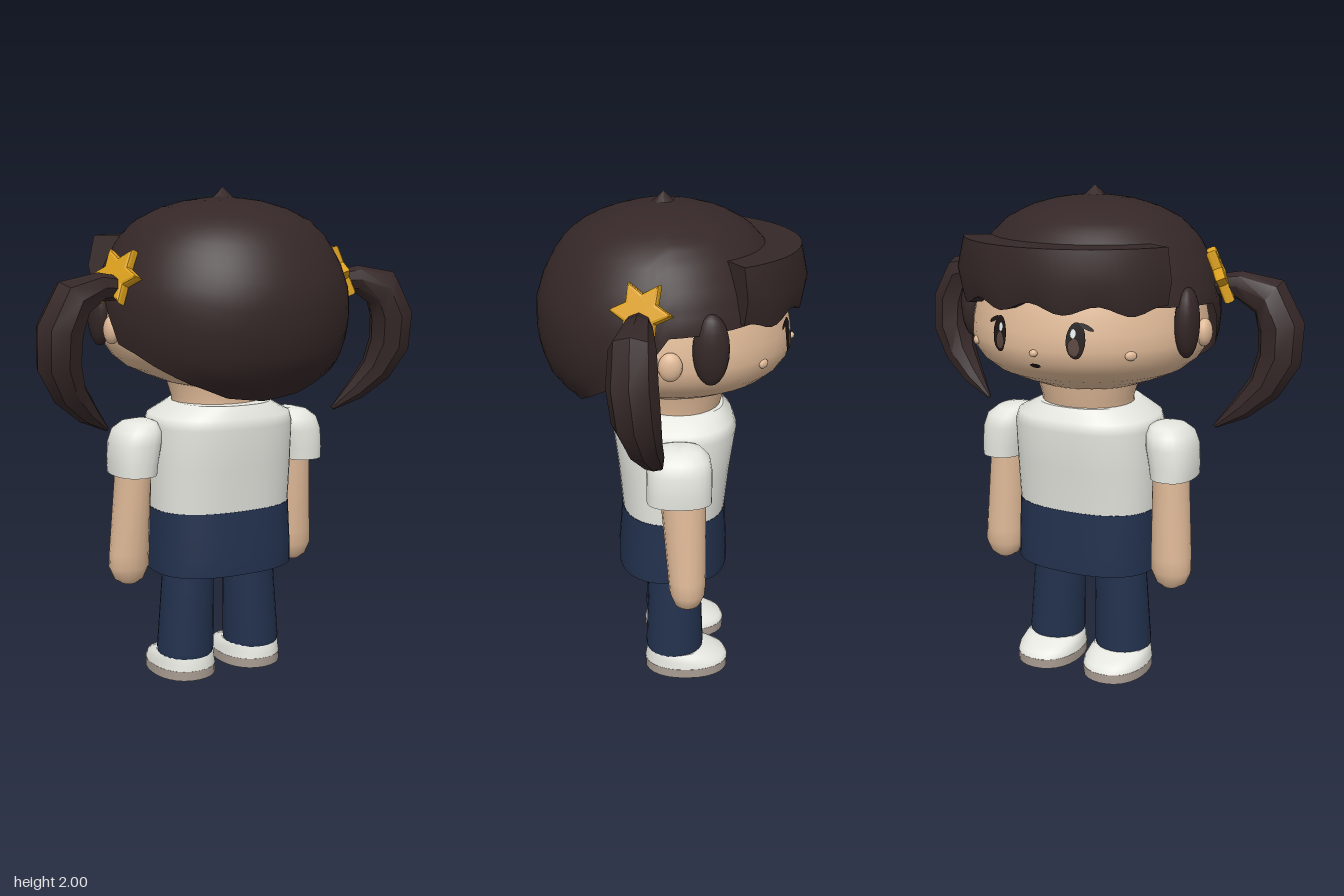
import * as THREE from 'three';
import { toCreasedNormals } from 'three/addons/utils/BufferGeometryUtils.js';

const mat = (name, color, side = THREE.FrontSide) => {
  const m = new THREE.MeshStandardMaterial({ color, side });
  m.name = name;
  return m;
};

// Linear lookup in a table of [key, value]
function lookup(table, t) {
  if (t <= table[0][0]) return table[0][1];
  for (let i = 1; i < table.length; i++) {
    const [a, va] = table[i - 1], [b, vb] = table[i];
    if (t <= b) return va + (vb - va) * (t - a) / (b - a);
  }
  return table[table.length - 1][1];
}

// Skin over rings of points, optionally capped at both ends
function loft(rings, caps = true) {
  const n = rings[0].length, pos = rings.flat(2), idx = [];
  for (let i = 0; i < rings.length - 1; i++) {
    for (let j = 0; j < n; j++) {
      const k = (j + 1) % n, a = i * n + j, b = i * n + k, c = b + n, d = a + n;
      idx.push(a, b, c, a, c, d);
    }
  }
  if (caps) {
    [rings[0], rings[rings.length - 1]].forEach((ring, e) => {
      const base = pos.length / 3;
      pos.push(...ring.flat());
      for (let j = 1; j < n - 1; j++) {
        if (e) idx.push(base, base + j, base + j + 1);
        else idx.push(base, base + j + 1, base + j);
      }
    });
  }
  const g = new THREE.BufferGeometry();
  g.setAttribute('position', new THREE.Float32BufferAttribute(pos, 3));
  g.setIndex(idx);
  g.computeVertexNormals();
  return g;
}

// Upright body from rows [y, centreX, centreZ, radiusX, radiusZ]
function column(rows, n = 24, power = 2, caps = true) {
  const f = (v) => Math.sign(v) * Math.abs(v) ** (2 / power);
  return loft(rows.map(([y, cx, cz, rx, rz]) => Array.from({ length: n }, (_, j) => {
    const a = j / n * Math.PI * 2;
    return [cx + rx * f(Math.cos(a)), y, cz - rz * f(Math.sin(a))];
  })), caps);
}

const HEAD = [[1.22, 0.17], [1.235, 0.23], [1.27, 0.32], [1.3, 0.385], [1.34, 0.435], [1.38, 0.463],
  [1.43, 0.475], [1.49, 0.47], [1.55, 0.458], [1.62, 0.44], [1.7, 0.4], [1.8, 0.31], [1.87, 0.2], [1.9, 0.02]];
const HAIR = [[1.19, 0.34], [1.22, 0.38], [1.28, 0.44], [1.33, 0.475], [1.42, 0.502], [1.5, 0.512], [1.6, 0.508],
  [1.7, 0.475], [1.8, 0.42], [1.87, 0.35], [1.92, 0.25], [1.95, 0.14], [1.965, 0.001]];
// Lower hair edge by angle away from the back, in degrees
const HAIR_EDGE = [[0, 1.19], [25, 1.21], [47, 1.28], [70, 1.38], [80, 1.41], [88, 1.57], [180, 1.61]];

export function createModel() {
  const group = new THREE.Group();
  const skin = mat('skin', 0xe0ba98);
  const hair = mat('dark brown hair', 0x352727, THREE.DoubleSide);
  const white = mat('white cloth', 0xe6e6e0);
  const navy = mat('navy cloth', 0x22314d, THREE.DoubleSide);
  const sole = mat('sole', 0xaa9e94);
  const yellow = mat('yellow', 0xdca01c);
  const ink = mat('eye dark', 0x1e1614, THREE.DoubleSide);
  const shine = mat('eye highlight', 0xeef2f2, THREE.DoubleSide);
  const iris = mat('eye brown', 0x59443c, THREE.DoubleSide);

  const add = (name, geo, material) => {
    const m = new THREE.Mesh(geo, material);
    m.name = name;
    group.add(m);
    return m;
  };
  const blob = (name, material, p, r) => {
    const m = add(name, new THREE.SphereGeometry(1, 16, 12), material);
    m.position.set(...p);
    m.scale.set(...r);
    return m;
  };
  // Thin oval laid on the face
  const facePatch = (name, material, cx, cy, rx, ry, lift, tilt = 0) => {
    const s = new THREE.Shape().absellipse(cx, cy, rx, ry, 0, Math.PI * 2, false, tilt);
    const g = new THREE.ShapeGeometry(s, 12), p = g.attributes.position;
    for (let i = 0; i < p.count; i++) {
      const r = lookup(HEAD, p.getY(i));
      p.setZ(i, -Math.sqrt(r * r - p.getX(i) ** 2) - lift);
    }
    g.computeVertexNormals();
    add(name, g, material);
  };

  // Head and neck
  add('head', column(HEAD.map(([y, r]) => [y, 0, 0, r, r]), 40), skin);
  add('neck', column([[1.12, 0, -0.02, 0.19, 0.17], [1.17, 0, -0.03, 0.19, 0.175], [1.25, 0, -0.03, 0.215, 0.19]]), skin);
  blob('nose', skin, [0, 1.42, -0.477], [0.016, 0.014, 0.014]);
  facePatch('mouth', ink, 0, 1.37, 0.022, 0.009, 0.006);

  // Hair cap: long at the back, cut above the ears
  const rows = 20, cols = 72, rings = [];
  for (let i = 0; i <= rows; i++) {
    rings.push(Array.from({ length: cols }, (_, j) => {
      const a = j / cols * Math.PI * 2, c = -Math.sin(a);
      const low = lookup(HAIR_EDGE, Math.acos(c) * 180 / Math.PI);
      const y = low + (1.965 - low) * Math.sin(i / rows * Math.PI / 2);
      const r = lookup(HAIR, y);
      return [r * Math.cos(a), y, 0.02 + r * c * (c < 0 ? 0.93 : 1)];
    }));
  }
  add('hairCap', loft(rings, false), hair);
  const crown = add('crownTuft', new THREE.ConeGeometry(0.065, 0.06, 8), hair);
  crown.position.set(0, 1.97, 0.03);

  // Fringe: a curved band with a wavy lower edge
  const fringe = [];
  for (let i = 0; i <= 32; i++) {
    const u = i / 16 - 1, t = u * 1.05;
    const low = 1.595 + 0.018 * Math.cos(u * 13) - 0.015 * Math.abs(u);
    const at = (r, y) => [r * Math.sin(t), y, -r * Math.cos(t)];
    fringe.push([at(0.455, low), at(0.508, low), at(0.528, 1.69), at(0.502, 1.81), at(0.34, 1.81)]);
  }
  add('fringe', toCreasedNormals(loft(fringe), 0.6), hair);

  // Shirt and trouser top
  add('shirt', column([[0.72, 0, -0.008, 0.295, 0.212], [0.9, 0, -0.01, 0.3, 0.23], [1.06, 0, -0.012, 0.3, 0.252],
    [1.1, 0, -0.01, 0.29, 0.238], [1.15, 0, -0.005, 0.195, 0.205]], 40, 2.5), white);
  add('trouserTop', column([[0.46, 0, -0.005, 0.303, 0.226], [0.53, 0, -0.005, 0.302, 0.226],
    [0.72, 0, -0.008, 0.296, 0.213]], 40, 2.5, false), navy);

  for (const s of [1, -1]) {
    const side = s > 0 ? 'left' : 'right';

    // Face details
    const ex = 0.16 * s;
    facePatch(side + 'EyeLash', ink, ex, 1.475, 0.034, 0.068, 0.005);
    facePatch(side + 'EyeIris', iris, ex - 0.004 * s, 1.452, 0.02, 0.034, 0.008);
    facePatch(side + 'EyeShine', shine, ex - 0.008 * s, 1.502, 0.011, 0.017, 0.009);
    facePatch(side + 'LashTip', ink, ex + 0.035 * s, 1.525, 0.028, 0.008, 0.006, -0.5 * s);
    const cheek = blob(side + 'Cheek', skin, [0.332 * s, 1.415, -0.337], [0.023, 0.018, 0.012]);
    cheek.rotation.y = -0.78 * s;
    blob(side + 'Ear', skin, [0.48 * s, 1.455, 0.015], [0.03, 0.055, 0.045]);
    blob(side + 'SideLock', hair, [0.468 * s, 1.515, -0.133], [0.045, 0.135, 0.068]);

    // Pigtail: a tapered, faceted tube
    const path = new THREE.CatmullRomCurve3([[0.45, 1.62, 0.12], [0.57, 1.63, 0.13], [0.7, 1.58, 0.15],
      [0.75, 1.4, 0.145], [0.69, 1.23, 0.11], [0.52, 1.075, 0.05]].map(([x, y, z]) => new THREE.Vector3(x * s, y, z)));
    const segs = 7, sides = 8, radii = [0.04, 0.055, 0.085, 0.092, 0.088, 0.068, 0.045, 0.008];
    const tube = new THREE.TubeGeometry(path, segs, 1, sides), p = tube.attributes.position;
    const v = new THREE.Vector3();
    for (let i = 0; i < p.count; i++) {
      const ring = Math.floor(i / (sides + 1)), c = path.getPointAt(ring / segs);
      v.fromBufferAttribute(p, i).sub(c).multiplyScalar(radii[ring]).add(c);
      p.setXYZ(i, v.x, v.y, v.z);
    }
    add(side + 'Pigtail', toCreasedNormals(tube, 0.7), hair);

    // Star-shaped hair tie
    const star = new THREE.Shape(Array.from({ length: 12 }, (_, i) => {
      const a = i / 12 * Math.PI * 2, r = i % 2 ? 0.055 : 0.105;
      return new THREE.Vector2(r * Math.cos(a), r * Math.sin(a));
    }));
    const tie = add(side + 'HairTie', new THREE.ExtrudeGeometry(star, {
      depth: 0.02, bevelSize: 0.012, bevelThickness: 0.012, bevelSegments: 2 }), yellow);
    tie.position.set(0.49 * s, 1.66, 0.115);
    tie.lookAt(1.34 * s, 2.04, 0.45);

    // Arm and puffed sleeve
    add(side + 'Arm', column([[0.41, 0.39 * s, -0.055, 0.03, 0.03], [0.43, 0.39 * s, -0.055, 0.062, 0.052],
      [0.48, 0.39 * s, -0.055, 0.084, 0.072], [0.54, 0.388 * s, -0.053, 0.083, 0.075],
      [0.92, 0.372 * s, -0.035, 0.07, 0.09]], 16), skin);
    add(side + 'Sleeve', toCreasedNormals(column([[0.875, 0.385 * s, -0.022, 0.088, 0.127],
      [0.92, 0.383 * s, -0.022, 0.092, 0.127], [1.0, 0.373 * s, -0.022, 0.098, 0.127],
      [1.05, 0.363 * s, -0.022, 0.09, 0.118], [1.08, 0.35 * s, -0.022, 0.065, 0.085],
      [1.09, 0.34 * s, -0.022, 0.03, 0.04]], 24, 2.4), 0.9), white);

    // Leg and shoe
    add(side + 'Leg', column([[0.09, 0.157 * s, -0.01, 0.115, 0.116], [0.11, 0.157 * s, -0.01, 0.118, 0.12],
      [0.36, 0.146 * s, -0.01, 0.11, 0.11], [0.6, 0.135 * s, -0.01, 0.1, 0.11]], 24), navy);
    add(side + 'Sole', column([[0, 0.156 * s, -0.06, 0.134, 0.174], [0.04, 0.156 * s, -0.06, 0.135, 0.175]], 28, 2.2), sole);
    add(side + 'ShoeUpper', column([[0.04, 0.156 * s, -0.06, 0.134, 0.174], [0.062, 0.156 * s, -0.056, 0.13, 0.166],
      [0.082, 0.156 * s, -0.035, 0.124, 0.14], [0.097, 0.156 * s, -0.018, 0.115, 0.118]], 28, 2.2), white);
  }
  return group;
}
